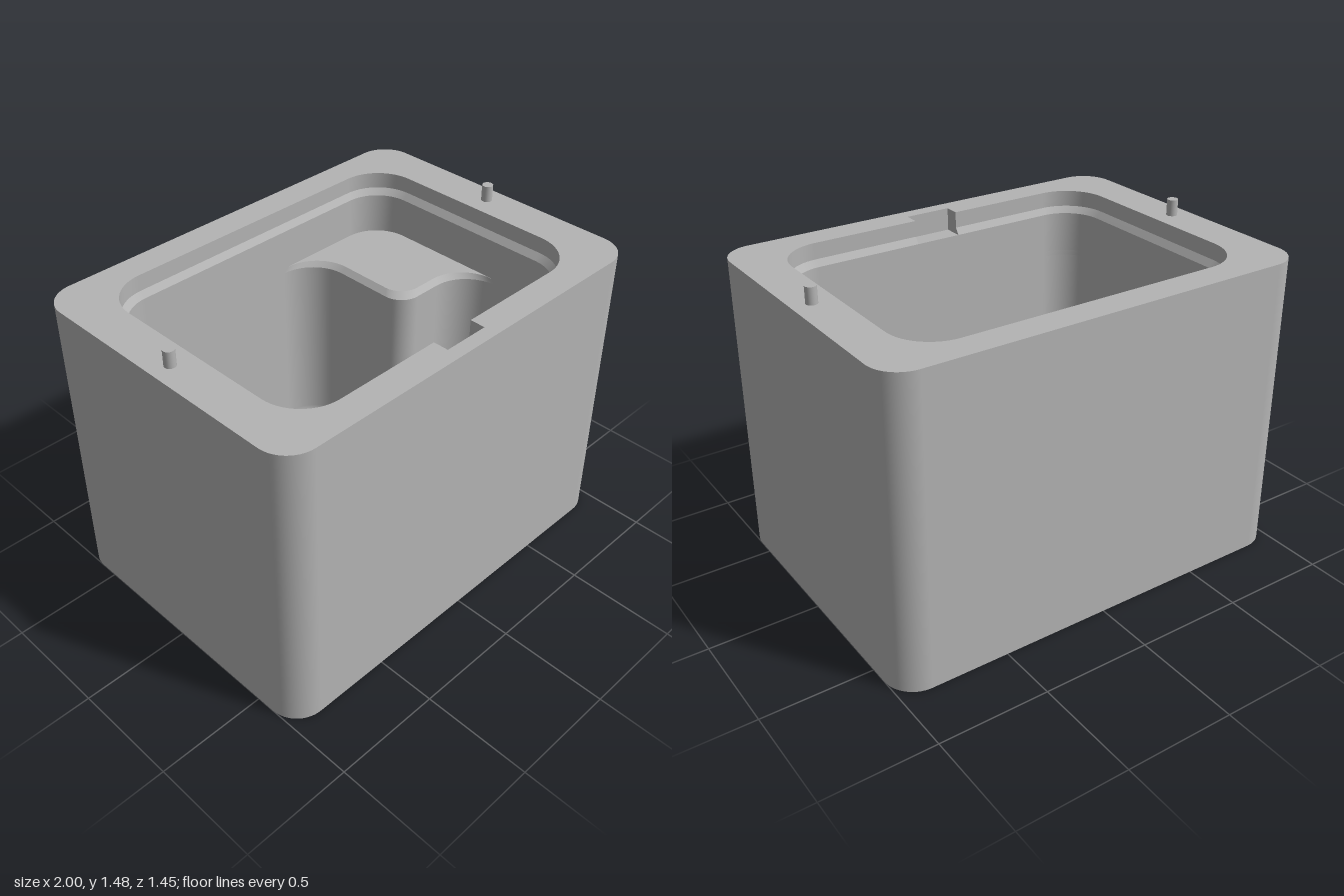
import * as THREE from 'three';

const ARC = 14;
const TOP = 1.405, LEDGE = 1.30, SHELF = 1.11, FLOOR = 0.18;

// Rounded outline from counter-clockwise corners [x, v, radius] (v points to the back), moved inward by inset.
function outline(corners, inset = 0) {
  const pts = [], n = corners.length;
  corners.forEach(([x, v, r], i) => {
    const p = corners[(i + n - 1) % n], q = corners[(i + 1) % n];
    const a = new THREE.Vector2(x - p[0], v - p[1]).normalize();
    const b = new THREE.Vector2(q[0] - x, q[1] - v).normalize();
    const s = Math.sign(a.cross(b)); // +1 convex, -1 concave
    const n1 = [-a.y, a.x], n2 = [-b.y, b.x], R = r - s * inset;
    for (let k = 0; k <= ARC; k++) {
      const t = (k / ARC) * Math.PI / 2, c = Math.cos(t), d = Math.sin(t);
      pts.push([0, 1].map(j => [x, v][j] + s * r * (n1[j] + n2[j]) - s * R * (n1[j] * c + n2[j] * d)));
    }
  });
  return pts;
}

// Starts at the front right corner, so the outline opens in the middle of the front edge.
const rect = (x, v, r) => outline([[x, -v, r], [x, v, r], [-x, v, r], [-x, -v, r]]);

function circle(cx, cv, r, n = 48) {
  return Array.from({ length: n }, (_, i) => {
    const t = (i / n) * Math.PI * 2;
    return [cx + r * Math.cos(t), cv + r * Math.sin(t)];
  });
}

// Skin over rings [points, y]: rising rings face outward, falling rings face inward.
function loft(rings, closed = true, flat = false) {
  const n = rings[0][0].length, pos = [], idx = [];
  rings.forEach(([pts, y]) => pts.forEach(([x, v]) => pos.push(x, y, -v)));
  for (let r = 0; r < rings.length - 1; r++) {
    for (let i = 0; i < (closed ? n : n - 1); i++) {
      const j = (i + 1) % n, a = r * n + i, b = r * n + j;
      idx.push(a, b, b + n, a, b + n, a + n);
    }
  }
  let g = new THREE.BufferGeometry();
  g.setAttribute('position', new THREE.Float32BufferAttribute(pos, 3));
  g.setIndex(idx);
  if (flat) g = g.toNonIndexed();
  g.computeVertexNormals();
  return g;
}

// Flat horizontal face with optional holes.
function face(pts, y, holes = [], down = false) {
  const vec = list => list.map(p => new THREE.Vector2(p[0], p[1]));
  const shape = new THREE.Shape(vec(pts));
  holes.forEach(h => shape.holes.push(new THREE.Path(vec(h))));
  return new THREE.ShapeGeometry(shape).rotateX(down ? Math.PI / 2 : -Math.PI / 2).translate(0, y, 0);
}

export function createModel() {
  const model = new THREE.Group();
  const grey = new THREE.MeshStandardMaterial({ color: 0xb4b4b4 });
  grey.name = 'plain grey';
  const add = (name, geo) => {
    const m = new THREE.Mesh(geo, grey);
    m.name = name;
    model.add(m);
    return m;
  };

  // Outer block
  const outer = rect(1, 0.725, 0.14);
  add('outerWall', loft([[outer, 0], [outer, TOP]]));
  add('underside', face(outer, 0, [], true));

  // Rim with a notch in the front edge
  const nl = -0.11, nr = 0.105, nb = -0.66;
  const lip = [[nr, -0.59], ...rect(0.81, 0.59, 0.2), [nl, -0.59]];
  const inner = rect(0.785, 0.57, 0.18);
  const ledge = [[nr, -0.57], ...inner, [nl, -0.57]];
  add('rimTop', face(outer, TOP, [[...lip, [nl, nb], [nr, nb]]]));
  add('rimLip', loft([[lip, TOP], [lip, 1.33]], false));
  add('rimChamfer', loft([[lip, 1.33], [ledge, LEDGE]], false));
  const notch = v => [[nl, v], [nl, nb], [nr, nb], [nr, v]];
  add('notchWalls', loft([[notch(-0.59), TOP], [notch(-0.59), 1.33], [notch(-0.57), LEDGE]], false, true));
  add('notchFloor', face([[nl, nb], [nr, nb], [nr, -0.57], [nl, -0.57]], LEDGE));

  // Upper cavity wall
  add('upperCavityWall', loft([[inner, LEDGE], [inner, SHELF]]));

  // L-shaped lower cavity, stepped around the corner shelf
  const cavity = (x, v) => [
    [0.785, -0.57, 0.18], [0.785, v, 0.19], [x, v, 0.1],
    [x, 0.57, 0.19], [-0.785, 0.57, 0.18], [-0.785, -0.57, 0.18],
  ];
  const low = cavity(0.36, 0), upper = outline(cavity(0.385, 0.025));
  add('shelfChamfer', loft([[upper, SHELF], [outline(low), SHELF - 0.025]]));
  const fillet = 0.09, rings = [[outline(low), SHELF - 0.025]];
  for (let k = 0; k <= 8; k++) {
    const t = (k / 8) * Math.PI / 2;
    rings.push([outline(low, fillet * (1 - Math.cos(t))), FLOOR + fillet * (1 - Math.sin(t))]);
  }
  add('lowerCavityWall', loft(rings));

  // Corner shelf between the L edge and the back right corner
  const step = ARC + 1;
  const edge = upper.slice(step, 4 * step).reverse();
  const corner = inner.slice(step, 2 * step).reverse();
  add('cornerShelf', face([...edge, ...corner.reverse()], SHELF));

  // Cavity floor with a countersunk drain
  const drain = r => circle(-0.22, 0, r);
  add('cavityFloor', face(outline(low, fillet), FLOOR, [drain(0.078)]));
  add('drainChamfer', loft([[drain(0.078), FLOOR], [drain(0.06), FLOOR - 0.02]]));
  add('drainWall', loft([[drain(0.06), FLOOR - 0.02], [drain(0.06), 0.09]]));
  add('drainBottom', face(drain(0.06), 0.09));

  // Round pad on the floor
  add('floorPad', new THREE.CylinderGeometry(0.19, 0.19, 0.008, 64)).position.set(-0.465, FLOOR + 0.002, -0.22);

  // Locating pins
  for (const s of [-1, 1]) {
    add(s > 0 ? 'leftPin' : 'rightPin', new THREE.CylinderGeometry(0.025, 0.025, 0.085, 24))
      .position.set(s * 0.912, TOP + 0.0325, 0);
  }
  return model;
}
